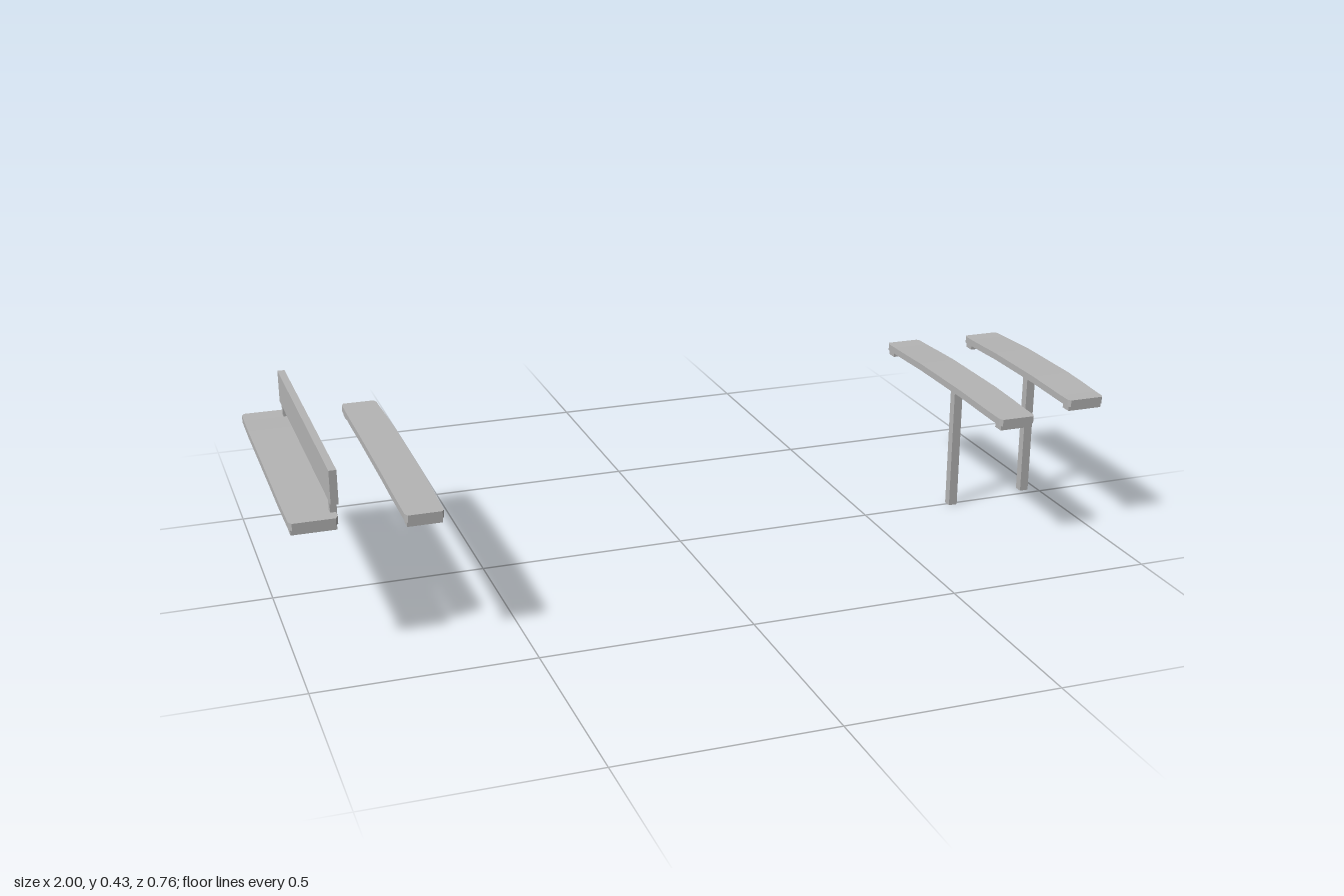
import * as THREE from 'three';

const wood = new THREE.MeshStandardMaterial({ color: 0xb4b4b4 });
wood.name = 'plainGrey';

function box(name, parent, x0, x1, y0, y1, z0, z1) {
  const mesh = new THREE.Mesh(new THREE.BoxGeometry(x1 - x0, y1 - y0, z1 - z0), wood);
  mesh.position.set((x0 + x1) / 2, (y0 + y1) / 2, (z0 + z1) / 2);
  mesh.name = name;
  parent.add(mesh);
}

// Stations along half a plank: [fraction of length, arch, width scale]
const stations = [[0, 1, 1], [0.36, 1, 1], [0.62, 0.55, 0.99], [0.86, 0.1, 0.96], [0.97, 0, 0.95], [1, 0, 0.84]];

// Gently arched plank with clipped end corners
function plankGeometry(width, height, half) {
  const n = stations.length - 1;
  const geo = new THREE.BoxGeometry(width, height, 2, 1, 1, n * 2);
  const p = geo.attributes.position;
  for (let i = 0; i < p.count; i++) {
    const z = p.getZ(i);
    const [t, arch, scale] = stations[Math.round(Math.abs(z) * n)];
    p.setXYZ(i, p.getX(i) * scale, p.getY(i) + arch * 0.006, Math.sign(z) * t * half);
  }
  const flat = geo.toNonIndexed();
  flat.computeVertexNormals();
  return flat;
}

// Plank with a cross batten under each end
function bench(name, x0, x1, bottom, half) {
  const group = new THREE.Group();
  group.name = name;
  const height = 0.017;
  const plank = new THREE.Mesh(plankGeometry(x1 - x0, height, half), wood);
  plank.name = 'plank';
  plank.position.set((x0 + x1) / 2, bottom + height / 2, 0);
  group.add(plank);
  for (const s of [-1, 1]) {
    const z = s * (half - 0.021);
    box('batten', group, x0 + 0.006, x1 - 0.006, bottom - 0.012, bottom + 0.001, z - 0.014, z + 0.014);
  }
  return group;
}

export function createModel() {
  const model = new THREE.Group();
  model.name = 'benchesAndTables';

  // Seat with a raised back board on two short supports
  const seat = bench('backedBench', -1, -0.889, 0.312, 0.362);
  box('backBoard', seat, -0.905, -0.888, 0.355, 0.433, -0.35, 0.35);
  for (const z of [-0.319, 0.319]) {
    box('backSupport', seat, -0.904, -0.889, 0.314, 0.356, z - 0.009, z + 0.009);
  }

  // Plain bench
  const plain = bench('plainBench', -0.755, -0.665, 0.304, 0.379);

  // Planks on a single post
  const inner = bench('innerPostBench', 0.694, 0.79, 0.326, 0.32);
  box('post', inner, 0.731, 0.753, 0, 0.332, -0.011, 0.011);
  const outer = bench('outerPostBench', 0.9, 1, 0.337, 0.278);
  box('post', outer, 0.936, 0.958, 0.013, 0.343, -0.011, 0.011);

  model.add(seat, plain, inner, outer);
  return model;
}
